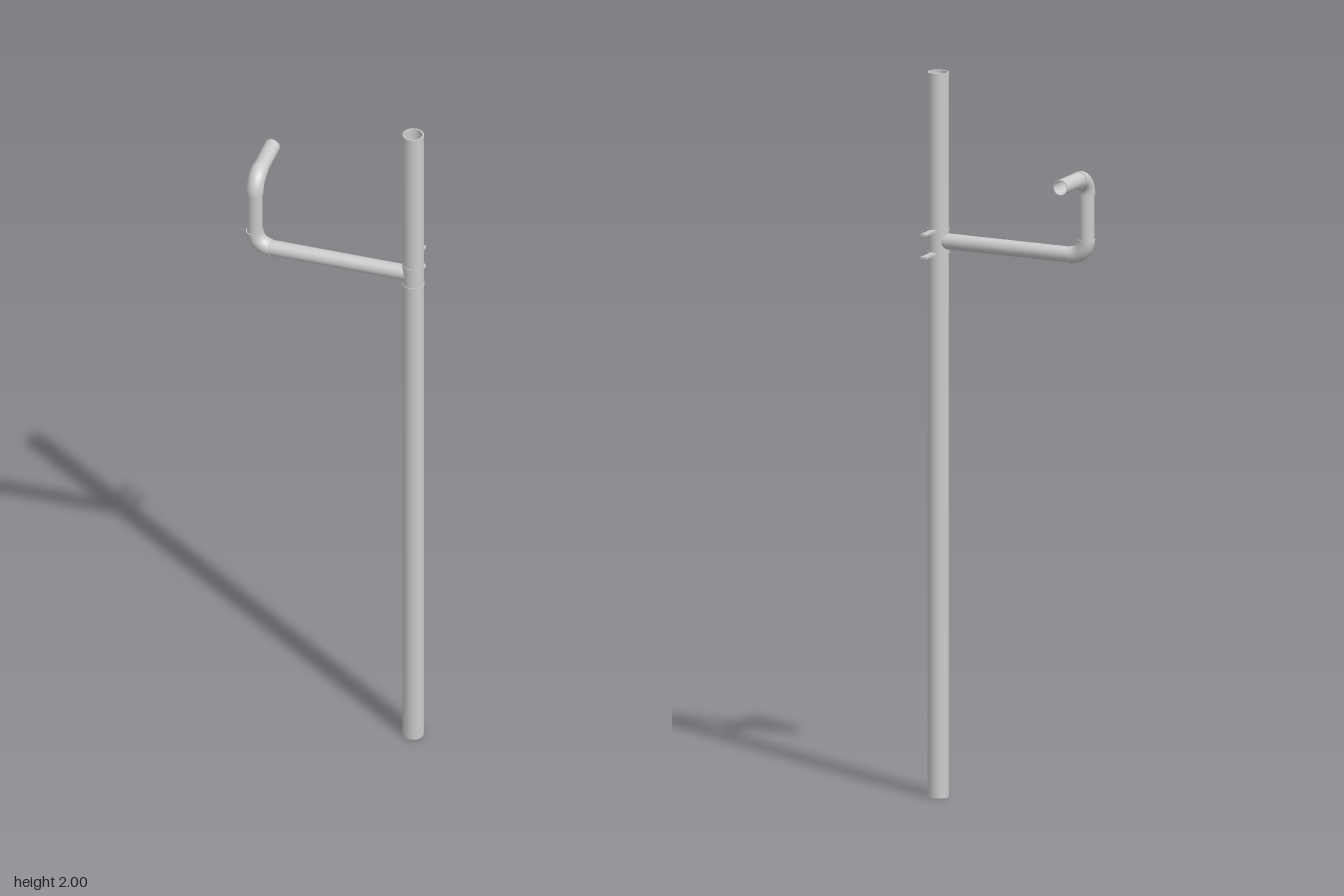
import * as THREE from 'three';

export function createModel() {
  const group = new THREE.Group();
  const mat = new THREE.MeshStandardMaterial({ color: 0xcccccc, side: THREE.DoubleSide });

  const postX = 0.22, hookX = -0.228, pipeZ = 0.062;
  const armY = 1.535, topY = 1.755, bend = 0.047;
  const pipeR = 0.0215, elbowR = 0.0238;
  const v = (x, y, z) => new THREE.Vector3(x, y, z);

  const add = (geometry, name) => {
    const mesh = new THREE.Mesh(geometry, mat);
    mesh.name = name;
    group.add(mesh);
    return mesh;
  };

  // Hollow straight pipe between two points, with flat rims
  const pipe = (name, a, b, outer, wall, sides) => {
    const h = a.distanceTo(b) / 2, inner = outer - wall;
    const walls = [[outer, -h, outer, h], [outer, h, inner, h], [inner, h, inner, -h], [inner, -h, outer, -h]];
    const part = new THREE.Group();
    part.name = name;
    for (const [r0, y0, r1, y1] of walls) {
      const profile = [new THREE.Vector2(r0, y0), new THREE.Vector2(r1, y1)];
      part.add(new THREE.Mesh(new THREE.LatheGeometry(profile, sides), mat));
    }
    part.position.copy(a).add(b).multiplyScalar(0.5);
    part.quaternion.setFromUnitVectors(v(0, 1, 0), b.clone().sub(a).normalize());
    group.add(part);
  };

  // Quarter-turn fitting: corner point plus the directions of its two mouths
  const elbow = (name, corner, d0, d1) => {
    const path = new THREE.Curve();
    const centre = corner.clone().addScaledVector(d0, bend).addScaledVector(d1, bend);
    path.getPoint = (t, target = v(0, 0, 0)) => {
      const a = t * Math.PI / 2;
      return target.copy(centre).addScaledVector(d1, -bend * Math.cos(a)).addScaledVector(d0, -bend * Math.sin(a));
    };
    add(new THREE.TubeGeometry(path, 12, elbowR, 24), name);
    // Stepped lips where the fitting meets the pipes
    for (const d of [d0, d1]) {
      const lip = add(new THREE.RingGeometry(pipeR - 0.002, elbowR, 24), name + 'Lip');
      lip.position.copy(corner).addScaledVector(d, bend);
      lip.quaternion.setFromUnitVectors(v(0, 0, 1), d);
    }
  };

  // Upright post
  pipe('post', v(postX, 0, pipeZ), v(postX, 2, pipeZ), 0.029, 0.004, 16);

  // Side arm, riser and rearward hook
  const low = v(hookX, armY, pipeZ), high = v(hookX, topY, pipeZ);
  pipe('arm', v(hookX + bend, armY, pipeZ), v(postX, armY, pipeZ), pipeR, 0.002, 24);
  pipe('riser', v(hookX, armY + bend, pipeZ), v(hookX, topY - bend, pipeZ), pipeR, 0.002, 24);
  pipe('hookEnd', v(hookX, topY, pipeZ - bend), v(hookX, topY, -0.095), pipeR, 0.002, 24);
  elbow('lowerElbow', low, v(1, 0, 0), v(0, 1, 0));
  elbow('upperElbow', high, v(0, -1, 0), v(0, 0, -1));

  // Two clamp bands with tabs pointing to the back
  for (const y of [1.503, 1.566]) {
    pipe('clampBand', v(postX, y - 0.003, pipeZ), v(postX, y + 0.003, pipeZ), 0.0305, 0.003, 16);
    const tab = add(new THREE.BoxGeometry(0.016, 0.006, 0.061), 'clampTab');
    tab.position.set(postX, y, 0.0035);
  }
  return group;
}
